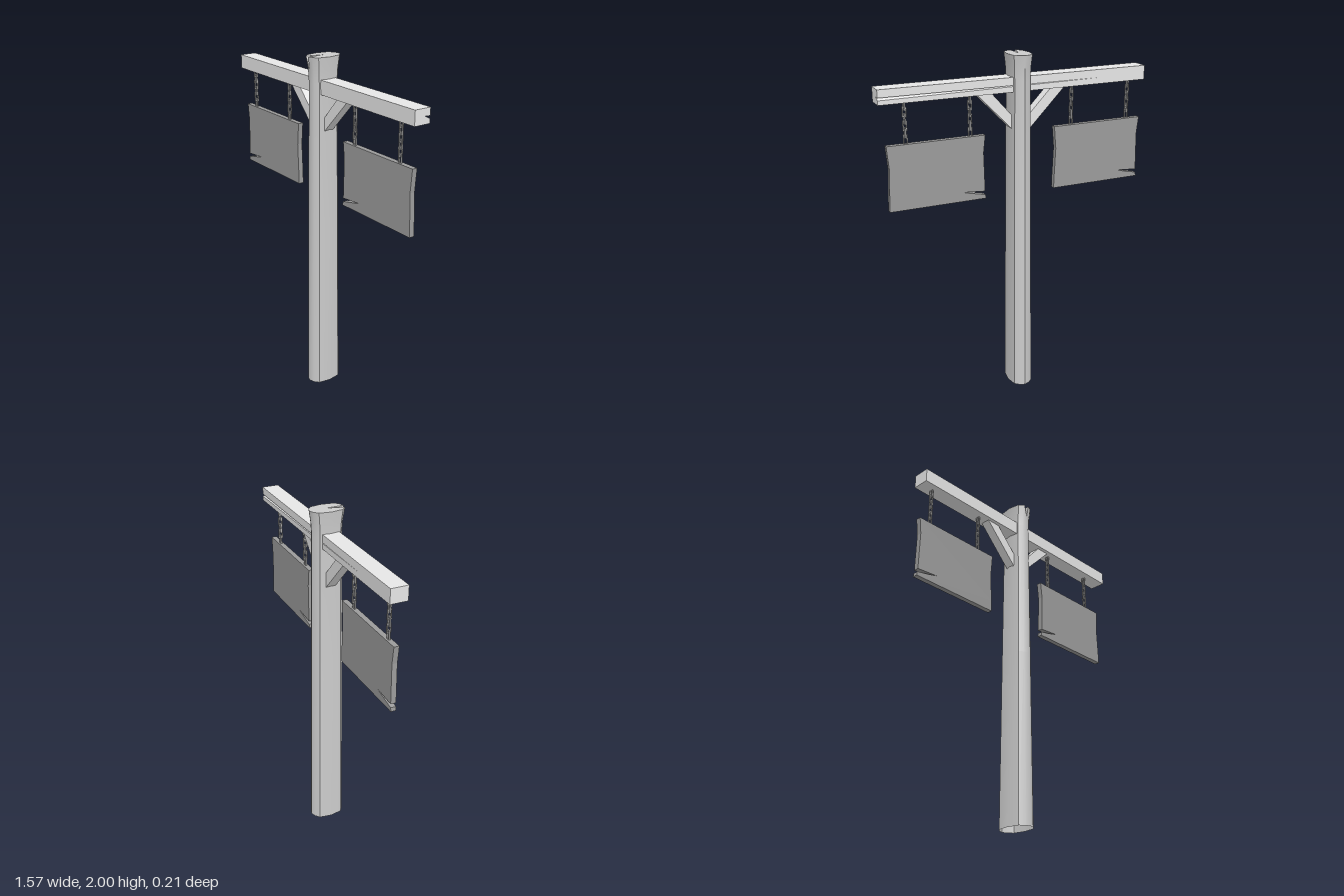
import * as THREE from 'three';
import { toCreasedNormals } from 'three/addons/utils/BufferGeometryUtils.js';

const flat = (name, color, side = THREE.FrontSide) => {
  const m = new THREE.MeshStandardMaterial({ color, side });
  m.name = name;
  return m;
};
const mats = {
  post: flat('post wood', 0xcccccc, THREE.DoubleSide), // hollow at the foot
  beam: flat('beam wood', 0xe6e6e6),
  board: flat('board wood', 0x9b9b9b),
  chain: flat('chain metal', 0xa8a8a8),
};

function add(parent, name, geometry, material) {
  const mesh = new THREE.Mesh(geometry, material);
  mesh.name = name;
  parent.add(mesh);
  return mesh;
}

// Skins a stack of matching counter-clockwise loops and caps the listed rings.
// rings: [{ t, pts: [[u, v], ...] }], place(t, u, v) gives the 3D point.
function loft(rings, place, crease, caps) {
  const pos = [];
  const tri = (...corners) => corners.forEach((c) => pos.push(...c));
  const loops = rings.map((r) => r.pts.map(([u, v]) => place(r.t, u, v)));
  const n = loops[0].length;
  for (let k = 0; k < loops.length - 1; k++) {
    const a = loops[k], b = loops[k + 1];
    for (let i = 0; i < n; i++) {
      const j = (i + 1) % n;
      tri(a[i], a[j], b[j]);
      tri(a[i], b[j], b[i]);
    }
  }
  caps.forEach((k) => {
    const flatPts = rings[k].pts.map(([u, v]) => new THREE.Vector2(u, v));
    for (const [a, b, c] of THREE.ShapeUtils.triangulateShape(flatPts, [])) {
      const L = loops[k];
      if (k === 0) tri(L[a], L[c], L[b]);
      else tri(L[a], L[b], L[c]);
    }
  });
  const g = new THREE.BufferGeometry();
  g.setAttribute('position', new THREE.Float32BufferAttribute(pos, 3));
  return toCreasedNormals(g, crease);
}

// Flat outline given thickness, centred on z = 0
function plate(points, depth, hole) {
  const shape = new THREE.Shape(points.map(([x, y]) => new THREE.Vector2(x, y)));
  if (hole) shape.holes.push(new THREE.Path(hole.map(([x, y]) => new THREE.Vector2(x, y))));
  const g = new THREE.ExtrudeGeometry(shape, { depth, bevelEnabled: false });
  return g.translate(0, 0, -depth / 2);
}

// Post: tapering trunk with sharp side edges and a flared head, split at the top front
function postGeometry() {
  const side = [
    [0.89, 0.45], [0.68, 0.83], [0, 1], [-0.68, 0.83], [-0.9, 0.45], [-1, 0],
    [-0.9, -0.45], [-0.68, -0.83], [0, -1], [0.68, -0.83], [0.89, -0.45],
  ];
  const ring = (t, halfX, halfZ, split) => ({
    t,
    pts: [
      ...(split
        ? [[0.094, -0.036], [-0.008, -0.011], [0.098, -0.009]]
        : Array(3).fill([halfZ * 0.985, -0.011])),
      ...side.map(([z, x]) => [z * halfZ, x * halfX - 0.011]),
    ],
  });
  return loft([
    ring(0, 0.068, 0.105), ring(1, 0.061, 0.095), ring(1.86, 0.055, 0.086),
    ring(1.93, 0.058, 0.09), ring(2, 0.065, 0.1, true),
  ], (t, z, x) => [x, t, z], 0.66, [4]);
}

// Beam: square timber with a long crack fading along its back
function beamGeometry() {
  const ring = (t, open) => ({
    t,
    pts: [
      [1.8, 0.05], [1.8, -0.047],
      [1.835 - 0.011 * open, -0.047],
      [1.835 + 0.006 * open, -0.047 + 0.033 * open],
      [1.835 + 0.003 * open, -0.047],
      [1.88, -0.047], [1.88, 0.05],
    ],
  });
  return loft([ring(-0.785, 0), ring(-0.5, 0), ring(0.785, 1)],
    (t, y, z) => [t, y, z], 0.3, [0, 2]);
}

// Hanging board: sides worn inward, with a thin crack at the lower corner
const boardOutline = [
  [-0.278, -0.185], [0.276, -0.185], [0.274, -0.12], [0.266, 0.05], [0.277, 0.178],
  [-0.278, 0.178], [-0.267, 0.08], [-0.273, -0.143], [-0.14, -0.132],
  [-0.2, -0.147], [-0.275, -0.163],
];

const rect = (w, h) => [[-w, -h], [w, -h], [w, h], [-w, h]];

export function createModel() {
  const model = new THREE.Group();
  model.name = 'hangingSignpost';

  add(model, 'post', postGeometry(), mats.post);
  add(model, 'crossBeam', beamGeometry(), mats.beam);

  // Slanted braces under the beam
  add(model, 'rightBrace', plate(
    [[-0.282, 1.801], [-0.05, 1.565], [-0.05, 1.65], [-0.197, 1.801]], 0.056), mats.beam);
  add(model, 'leftBrace', plate(
    [[0.03, 1.585], [0.242, 1.801], [0.157, 1.801], [0.03, 1.66]], 0.056), mats.beam);

  // Boards, each on two chains of alternating links
  const board = plate(boardOutline, 0.03);
  const link = plate(rect(0.012, 0.028), 0.008, rect(0.006, 0.02));
  [['rightSign', -0.507], ['leftSign', 0.469]].forEach(([name, x]) => {
    const sign = new THREE.Group();
    sign.name = name;
    sign.position.x = x;
    add(sign, 'board', board, mats.board).position.y = 1.395;
    [-0.196, 0.167].forEach((cx) => {
      const chain = new THREE.Group();
      chain.name = 'chain';
      chain.position.x = cx;
      for (let i = 0; i < 6; i++) {
        const l = add(chain, 'chainLink', link, mats.chain);
        l.position.y = 1.779 - i * 0.0368;
        l.rotation.y = i % 2 ? 0 : Math.PI / 2;
      }
      sign.add(chain);
    });
    model.add(sign);
  });
  return model;
}
